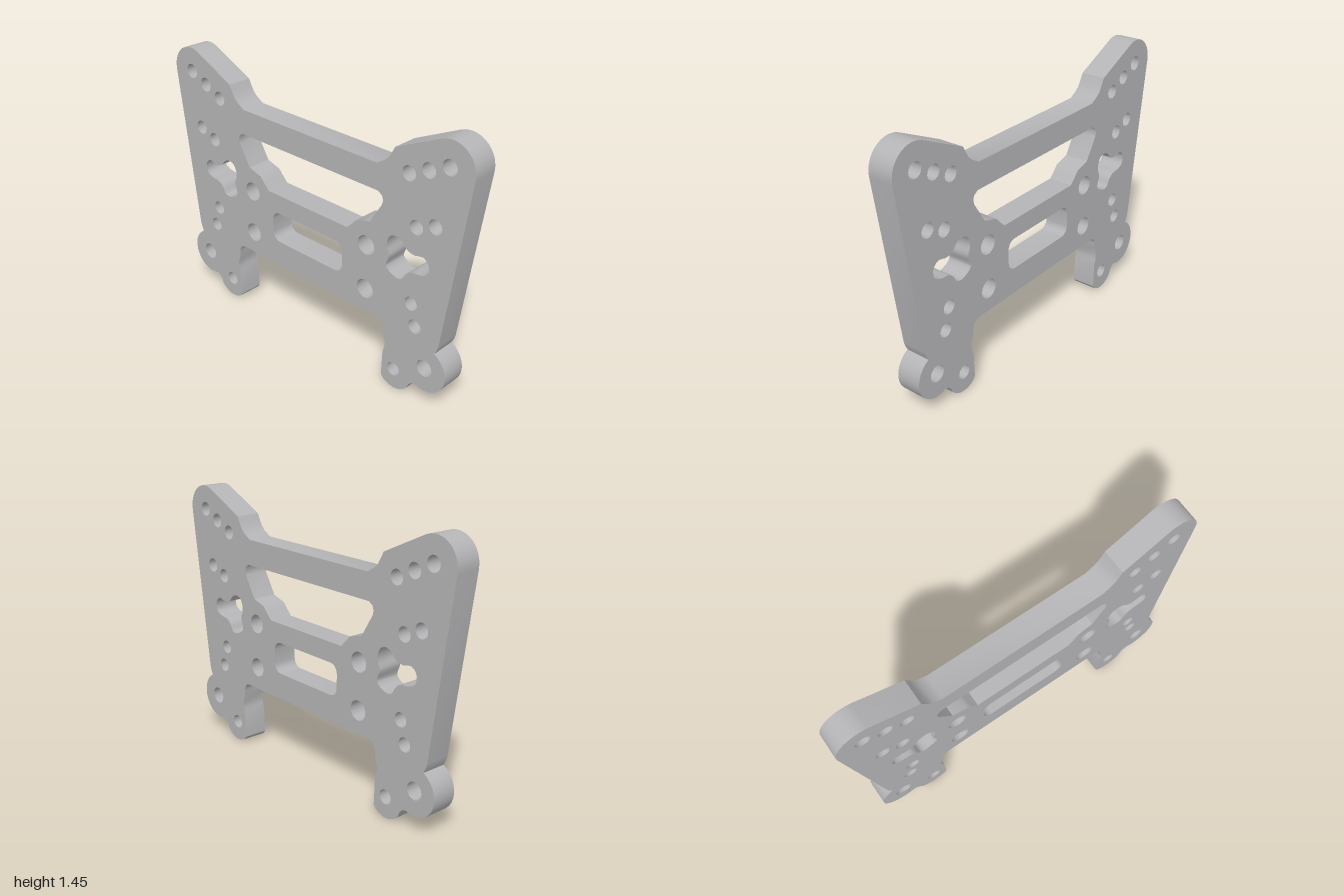
import * as THREE from 'three';
import { toCreasedNormals } from 'three/addons/utils/BufferGeometryUtils.js';

const DEPTH = 0.136;

// Points along a circular arc, angles in degrees
function arc(cx, cy, r, from, to, n) {
  const pts = [];
  for (let i = 0; i <= n; i++) {
    const a = THREE.MathUtils.degToRad(from + (to - from) * i / n);
    pts.push([cx + r * Math.cos(a), cy + r * Math.sin(a)]);
  }
  return pts;
}

const mirror = pts => pts.map(([x, y]) => [-x, y]).reverse();
const toVectors = pts => pts.map(([x, y]) => new THREE.Vector2(x, y));
const toPath = pts => new THREE.Path(toVectors(pts));

export function createModel() {
  const group = new THREE.Group();
  group.name = 'mountingPlate';
  const grey = new THREE.MeshStandardMaterial({ color: 0xb4b4b6 });
  grey.name = 'plate grey';

  // Left half of the outline, from the lower crossbar to the upper one
  const half = [
    ...arc(0.485, 0.327, 0.048, 90, 0, 5),
    [0.535, 0.3], [0.55, 0.245], [0.547, 0.215], [0.537, 0.18], [0.532, 0.04],
    ...arc(0.612, 0.11, 0.11, 234, 322, 8),       // foot
    [0.712, 0.072], [0.73, 0.09], [0.75, 0.095],
    ...arc(0.797, 0.215, 0.13, -96, 64, 14),      // lower ear
    [0.868, 0.36], [0.875, 0.385],
    ...arc(0.867, 1.315, 0.133, -8, 113, 11),     // upper tip
    [0.56, 1.318], [0.545, 1.29], [0.525, 1.255], [0.5, 1.232], [0.455, 1.207],
  ];
  const plate = new THREE.Shape(toVectors([...half, ...mirror(half)]));

  // Round holes, repeated on both sides: x, y, radius
  const holes = [
    [0.865, 1.317, 0.04], [0.755, 1.267, 0.039], [0.647, 1.217, 0.039],
    [0.81, 1.005, 0.039], [0.705, 0.963, 0.039],
    [0.407, 0.75, 0.053], [0.407, 0.5, 0.053],
    [0.697, 0.545, 0.038], [0.727, 0.428, 0.038],
    [0.8, 0.218, 0.047], [0.61, 0.112, 0.039],
  ];
  for (const [x, y, r] of holes) {
    for (const side of [-1, 1]) plate.holes.push(toPath(arc(side * x, y, r, 0, 360, 14).slice(0, -1)));
  }

  // Three-lobed cutouts
  const lobes = [
    [0.535, 0.8], [0.55, 0.855], [0.59, 0.873], [0.63, 0.858], [0.655, 0.828], [0.7, 0.815],
    [0.755, 0.825], [0.788, 0.795], [0.785, 0.748], [0.75, 0.725], [0.685, 0.715],
    [0.655, 0.69], [0.635, 0.656], [0.6, 0.65], [0.54, 0.68], [0.535, 0.7], [0.552, 0.75],
  ];
  const curve = new THREE.CatmullRomCurve3(lobes.map(([x, y]) => new THREE.Vector3(x, y, 0)), true);
  const smooth = curve.getPoints(40).slice(0, -1).map(p => [p.x, p.y]);
  plate.holes.push(toPath(smooth), toPath(mirror(smooth)));

  // Upper window and rounded centre slot
  const windowHalf = [
    [0.28, 0.8], [0.315, 0.835], [0.34, 0.863], [0.425, 0.888], [0.497, 1.005],
    [0.503, 1.03], [0.495, 1.052], [0.47, 1.068],
  ];
  const slotHalf = [...arc(0.202, 0.568, 0.048, -90, 0, 5), ...arc(0.202, 0.645, 0.048, 0, 90, 5)];
  for (const pts of [windowHalf, slotHalf]) plate.holes.push(toPath([...pts, ...mirror(pts)]));

  const geometry = new THREE.ExtrudeGeometry(plate, { depth: DEPTH, bevelEnabled: false });
  geometry.translate(0, 0, -DEPTH / 2);
  const mesh = new THREE.Mesh(toCreasedNormals(geometry, 0.6), grey);
  mesh.name = 'plate';
  group.add(mesh);
  return group;
}
